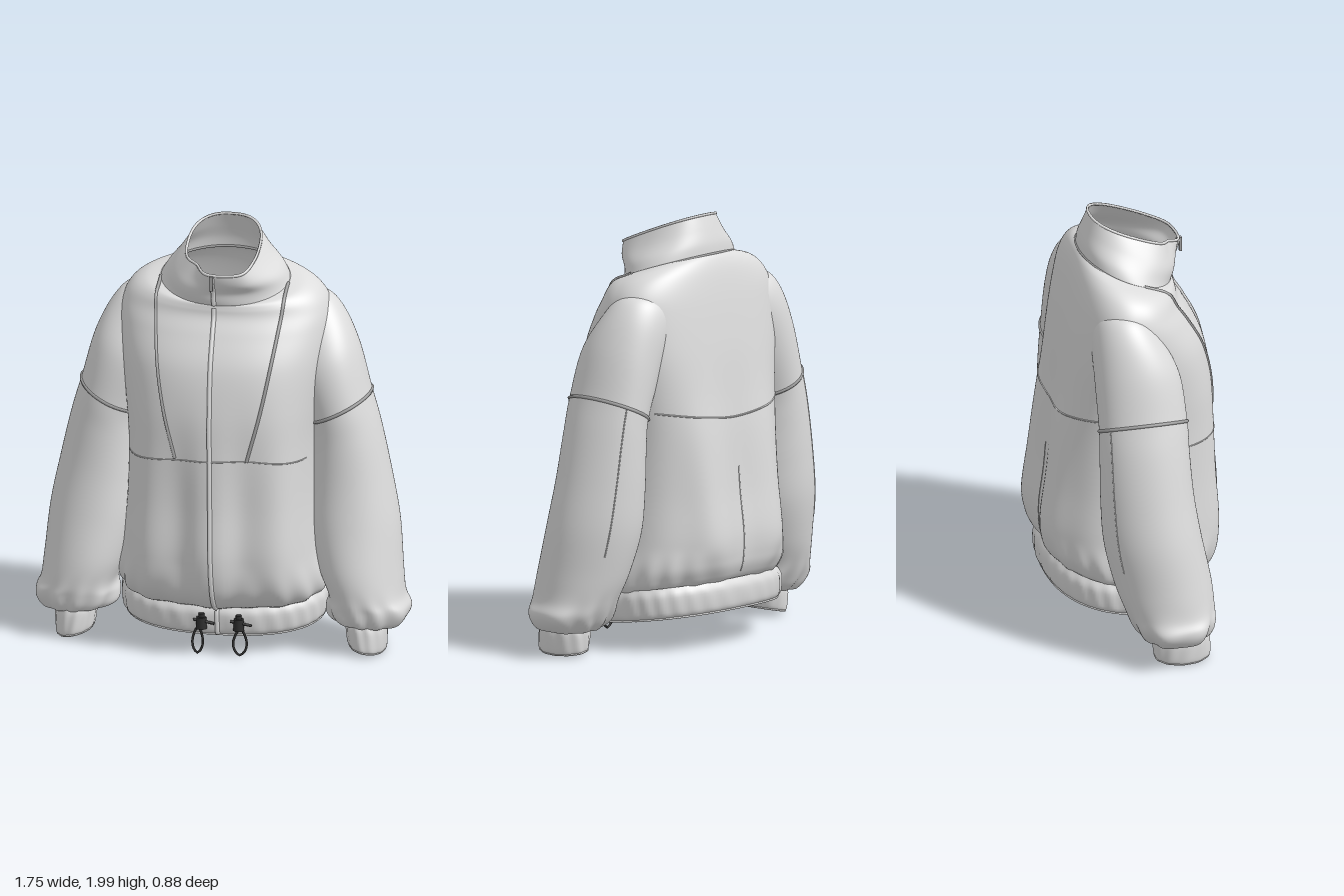
import * as THREE from 'three';

const mat = (name, color, side = THREE.FrontSide) => {
  const m = new THREE.MeshStandardMaterial({ color, side });
  m.name = name;
  return m;
};

// Smooth interpolation through rows of ring values
function sample(rings, v) {
  const n = rings.length - 1, t = Math.min(Math.max(v, 0), 1) * n;
  const i = Math.min(Math.floor(t), n - 1), f = t - i;
  const p0 = rings[Math.max(i - 1, 0)], p1 = rings[i], p2 = rings[i + 1], p3 = rings[Math.min(i + 2, n)];
  return p1.map((b, k) => {
    const m1 = (p2[k] - p0[k]) / 2, m2 = (p3[k] - b) / 2, d = p2[k] - b;
    return b + f * (m1 + f * (3 * d - 2 * m1 - m2 + f * (m1 + m2 - 2 * d)));
  });
}

// Cloth surface from rings listed bottom to top:
// [y, centreX, halfWidth, zFront, zBack, tiltX, tiltZ, squareness, taper (narrower front, wider back)]
// Angle 0 faces the front (+z), rising toward +x. s mirrors the part.
function cloth(rings, fold, s = 1) {
  const pow = (c, n) => Math.sign(c) * Math.abs(c) ** (2 / n);
  const pt = (a, v) => {
    const [y, cx, hw, zf, zb, tx, tz, n, taper = 0] = sample(rings, v);
    const cz = (zf + zb) / 2, dx0 = hw * pow(Math.sin(a), n) * (1 - taper * Math.cos(a));
    const k = 1 + fold(a * s, v, dx0, y);
    const dx = dx0 * k, z = cz + (zf - zb) / 2 * pow(Math.cos(a), n) * k;
    return new THREE.Vector3(s * cx + dx, y + s * tx * dx + tz * z, z);
  };
  // Finds the surface point at a given x and y, on the front or back
  const at = (x, y, back) => {
    let lo = 0, hi = 1, p;
    for (let i = 0; i < 24; i++) {
      const v = (lo + hi) / 2, r = sample(rings, v), taper = (r[8] || 0) * (back ? -1 : 1);
      const q = Math.max(-1, Math.min(1, (x - s * r[1]) / (r[2] * (1 - taper))));
      const a = Math.asin(Math.sign(q) * Math.abs(q) ** (r[7] / 2));
      p = pt(back ? Math.PI - a : a, v);
      if (p.y < y) lo = v; else hi = v;
    }
    return p;
  };
  const geometry = (nu, nv) => {
    const pos = [], idx = [];
    for (let j = 0; j <= nv; j++) for (let i = 0; i < nu; i++) pos.push(...pt(i / nu * Math.PI * 2, j / nv).toArray());
    for (let j = 0; j < nv; j++) for (let i = 0; i < nu; i++) {
      const a = j * nu + i, b = j * nu + (i + 1) % nu;
      idx.push(a, b, b + nu, a, b + nu, a + nu);
    }
    const g = new THREE.BufferGeometry();
    g.setAttribute('position', new THREE.Float32BufferAttribute(pos, 3));
    g.setIndex(idx);
    g.computeVertexNormals();
    return g;
  };
  return { pt, at, geometry };
}

export function createModel() {
  const root = new THREE.Group();
  root.name = 'jacket';
  const fabric = mat('light grey fabric', 0xdcdcdc, THREE.DoubleSide);
  const stitch = mat('grey seam', 0xa2a2a2);
  const dark = mat('dark hardware', 0x2e2e2e);
  const add = (name, g, m, parent = root) => {
    const mesh = new THREE.Mesh(g, m);
    mesh.name = name;
    parent.add(mesh);
    return mesh;
  };
  const tube = (name, pts, r, m = stitch, closed = false, parent = root) =>
    add(name, new THREE.TubeGeometry(new THREE.CatmullRomCurve3(pts, closed), pts.length * 3, r, 5, closed), m, parent);
  const range = (n, f) => Array.from({ length: n }, (_, i) => f(i / (n - 1)));
  const loop = (surf, v, n = 64) => Array.from({ length: n }, (_, i) => surf.pt(i / n * Math.PI * 2, v));
  // Seam drawn across a surface through a few [x, y] points
  const seamOn = (name, surf, xy, r, back = false, m = fabric) => {
    const path = new THREE.CatmullRomCurve3(xy.map(([x, y]) => new THREE.Vector3(x, y, 0)));
    tube(name, range(36, t => { const p = path.getPoint(t); return surf.at(p.x, p.y, back); }), r, m);
  };
  const { smoothstep } = THREE.MathUtils;

  // Body with soft vertical folds, gathered above the hem
  const body = cloth([
    [0.27, 0, 0.465, 0.29, -0.37, 0, -0.14, 2.4, 0],
    [0.31, 0, 0.485, 0.36, -0.40, 0, -0.12, 2.5, 0],
    [0.39, 0, 0.485, 0.415, -0.43, 0, -0.08, 2.7, 0.02],
    [0.52, 0, 0.465, 0.44, -0.445, 0, -0.03, 2.8, 0.04],
    [0.75, 0, 0.445, 0.425, -0.415, 0, 0, 2.9, 0.05],
    [1.00, 0, 0.44, 0.41, -0.38, 0, 0, 2.9, 0.06],
    [1.20, 0, 0.455, 0.39, -0.345, 0, 0, 2.8, 0.08],
    [1.40, 0, 0.48, 0.345, -0.315, 0, 0, 2.6, 0.1],
    [1.55, 0, 0.49, 0.275, -0.29, 0, -0.03, 2.4, 0.1],
    [1.64, 0, 0.475, 0.23, -0.27, 0, -0.1, 2.3, 0.1],
    [1.70, 0, 0.435, 0.22, -0.25, 0, -0.2, 2.2, 0.08],
    [1.737, 0, 0.375, 0.215, -0.23, 0, -0.28, 2.1, 0.04],
    [1.752, 0, 0.30, 0.21, -0.21, 0, -0.36, 2, 0],
  ], (a, v, x, y) => {
    const c = Math.cos(a), low = smoothstep(1.45 - y, 0, 0.8);
    const wave = c > 0 ? Math.cos(x * Math.PI * 2 / 0.34) : -Math.cos(x * Math.PI * 2 / 0.4);
    const gather = smoothstep(0.5 - y, 0, 0.2);
    return (wave - 1) * 0.05 * low * Math.abs(c) * (1 - 0.5 * gather) + 0.014 * gather * Math.cos(19 * a + Math.sin(3 * a));
  });
  add('body', body.geometry(160, 90), fabric);

  // Stand collar, leaning in toward the rim and slumping at the front
  const collar = cloth([
    [1.747, 0, 0.302, 0.212, -0.212, 0, -0.36, 2],
    [1.80, 0, 0.272, 0.225, -0.205, 0, -0.36, 2.1],
    [1.865, 0, 0.222, 0.252, -0.185, 0, -0.38, 2.2],
    [1.937, 0, 0.168, 0.26, -0.16, 0, -0.39, 2.5],
  ], (a, v) => {
    const front = 0.5 + 0.5 * Math.cos(a);
    return 0.04 * Math.sin(v * Math.PI) * Math.cos(3 * a + 5 * v) * front
      - v * v * front * (0.2 * Math.exp(-(((a > Math.PI ? a - Math.PI * 2 : a) + 0.75) ** 2) / 0.16) - 0.08 * Math.exp(-((a - 0.7) ** 2) / 0.1));
  });
  add('collar', collar.geometry(96, 24), fabric);
  tube('collarRim', loop(collar, 1), 0.007, fabric, true);
  tube('neckSeam', range(40, t => collar.pt(Math.PI * (0.45 + 1.1 * t), 0)), 0.006);

  // Elasticated hem band
  const hem = cloth([
    [0.14, 0, 0.462, 0.28, -0.375, 0, -0.13, 2.4],
    [0.165, 0, 0.478, 0.298, -0.39, 0, -0.13, 2.4],
    [0.24, 0, 0.482, 0.305, -0.393, 0, -0.13, 2.4],
    [0.28, 0, 0.466, 0.288, -0.372, 0, -0.14, 2.4],
  ], (a, v) => 0.007 * Math.cos(31 * a + 4 * v) * Math.sin(v * Math.PI));
  add('hemBand', hem.geometry(160, 14), fabric);
  tube('hemEdge', loop(hem, 0), 0.006, fabric, true);

  // Panel and yoke seams
  for (const s of [-1, 1])
    seamOn('frontPanelSeam', body, [[s * 0.298, 1.75], [s * 0.272, 1.5], [s * 0.226, 1.2], [s * 0.178, 0.98]], 0.008, false, stitch);
  seamOn('frontYokeSeam', body, [[-0.4, 0.95], [-0.2, 0.97], [0.2, 0.98], [0.4, 0.955]], 0.003);
  seamOn('backYokeSeam', body, [[-0.43, 1.13], [-0.2, 1.1], [0, 1.08], [0.2, 1.1], [0.43, 1.13]], 0.004, true);
  seamOn('backCentreSeam', body, [[0, 0.85], [0, 0.36]], 0.003, true);

  // Front zip, running from collar to hem
  for (const [surf, y0, y1, x0, x1] of [[collar, 1.83, 1.68, -0.018, -0.015], [body, 1.665, 0.24, -0.014, 0.014], [hem, 0.235, 0.11, 0.015, 0.017]])
    seamOn('zipTape', surf, [[x0, y0], [x1, y1]], 0.011);
  const pull = add('zipPull', new THREE.BoxGeometry(0.018, 0.07, 0.012), stitch);
  pull.position.set(-0.018, 1.8, 0.268);

  // Sleeves with dropped shoulder, full lower arm and gathered cuff
  const sleeveRings = [
    [0.165, 0.68, 0.085, 0.20, -0.01, -0.1, 0, 2],
    [0.135, 0.68, 0.14, 0.22, -0.06, -0.05, 0.05, 2],
    [0.165, 0.68, 0.183, 0.24, -0.1, 0, 0.05, 2],
    [0.215, 0.68, 0.195, 0.25, -0.13, 0, 0.04, 2.1],
    [0.28, 0.668, 0.178, 0.255, -0.16, 0, 0, 2.1],
    [0.40, 0.637, 0.195, 0.25, -0.20, 0, 0, 2],
    [0.60, 0.604, 0.207, 0.215, -0.24, 0.1, 0, 2],
    [0.80, 0.58, 0.19, 0.185, -0.25, 0.2, 0, 2],
    [1.00, 0.557, 0.164, 0.17, -0.25, 0.38, 0, 2],
    [1.15, 0.53, 0.146, 0.165, -0.248, 0.5, 0, 2],
    [1.36, 0.46, 0.155, 0.145, -0.25, 0.55, 0, 2],
    [1.50, 0.385, 0.15, 0.085, -0.245, 0.65, -0.05, 2],
    [1.58, 0.32, 0.13, 0.04, -0.22, 0.65, -0.1, 2],
    [1.62, 0.27, 0.06, -0.02, -0.17, 0.6, -0.1, 2],
  ];
  const last = sleeveRings.length - 1;
  for (const s of [-1, 1]) {
    const arm = new THREE.Group();
    arm.name = s > 0 ? 'leftSleeve' : 'rightSleeve';
    root.add(arm);
    const sleeve = cloth(sleeveRings, (a, v) => {
      const gather = smoothstep(0.36 - v, 0, 0.2);
      return 0.03 * Math.cos(3 * a + 5 * v) * Math.sin(v * Math.PI) * (1 - v * v)
        + 0.045 * gather * Math.cos(9 * a + 2 * Math.sin(2 * a) + 9 * v);
    }, s);
    add('sleeve', sleeve.geometry(80, 84), fabric, arm);
    tube('sleeveSeam', loop(sleeve, 9 / last), 0.008, stitch, true, arm);
    tube('sleeveBackSeam', range(24, t => sleeve.pt(s * 2.6, (9 - 3.5 * t) / last)), 0.003, fabric, false, arm);

    const cuff = cloth([
      [0.032, 0.682, 0.08, 0.228, -0.026, -0.2, 0, 2],
      [0.05, 0.682, 0.09, 0.235, -0.032, -0.2, 0, 2],
      [0.12, 0.68, 0.095, 0.23, -0.035, -0.2, 0, 2.1],
      [0.155, 0.68, 0.09, 0.22, -0.025, -0.15, 0, 2.1],
      [0.19, 0.68, 0.086, 0.205, -0.012, -0.1, 0, 2],
    ], (a, v) => 0.035 * Math.cos(11 * a + 5 * v) * (0.3 + 0.7 * v), s);
    add('cuff', cuff.geometry(72, 16), fabric, arm);
    tube('cuffEdge', loop(cuff, 0, 40), 0.005, fabric, true, arm);
  }

  // Cord stoppers with hanging elastic loops
  for (const x of [-0.055, 0.12]) {
    const toggle = new THREE.Group();
    toggle.name = 'cordStopper';
    toggle.position.set(x, 0.165, 0.312);
    root.add(toggle);
    add('stopperBody', new THREE.CylinderGeometry(0.023, 0.026, 0.055, 16), dark, toggle);
    const button = add('stopperButton', new THREE.CylinderGeometry(0.014, 0.014, 0.03, 12), dark, toggle);
    button.position.y = 0.03;
    const bar = add('cordStub', new THREE.CylinderGeometry(0.007, 0.007, 0.1, 8), dark, toggle);
    bar.rotation.z = Math.PI / 2 - 0.15;
    bar.position.set(0.012, 0.008, 0.006);
    const w = x > 0 ? 0.03 : 0.023, dx = x > 0 ? 0.008 : -0.015;
    tube('cordLoop', [[0, -0.02], [-w, -0.07], [-w * 0.9, -0.115], [0, -0.142], [w * 0.9, -0.115], [w, -0.07]]
      .map(([px, py]) => new THREE.Vector3(px + dx, py, -py * 0.12)), 0.006, dark, true, toggle);
  }
  return root;
}
